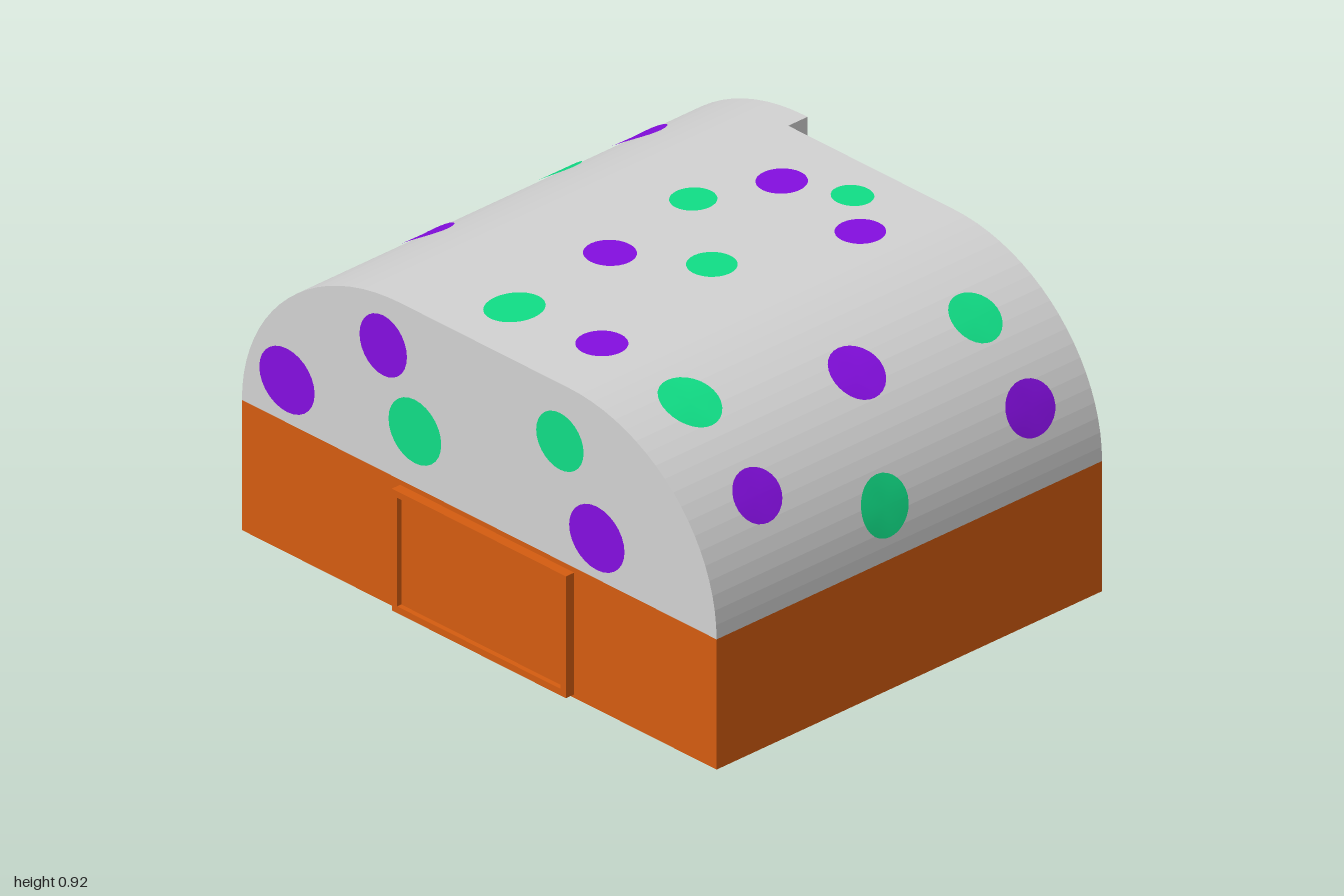
import * as THREE from 'three';

const mat = (name, color, extra = {}) => {
  const m = new THREE.MeshStandardMaterial({ color, ...extra });
  m.name = name;
  return m;
};

export function createModel() {
  const root = new THREE.Group();
  root.name = 'spottedBuilding';
  const orange = mat('orange wall', 0xd45c10);
  const gray = mat('light gray roof', 0xd2d2d2, { flatShading: true });
  const purple = mat('purple spot', 0x840ee0);
  const green = mat('green spot', 0x10de86);
  const black = mat('black mark', 0x0a0a0a);

  const add = (name, geo, material, parent = root) => {
    const m = new THREE.Mesh(geo, material);
    m.name = name;
    parent.add(m);
    return m;
  };
  // Box given by its minimum and maximum corners
  const box = (name, a, b, material, parent) => add(name,
    new THREE.BoxGeometry(b[0] - a[0], b[1] - a[1], b[2] - a[2])
      .translate((a[0] + b[0]) / 2, (a[1] + b[1]) / 2, (a[2] + b[2]) / 2), material, parent);

  // Roof section: front and back quarter ellipses joined by a flat top
  const EAVE = 0.39, RISE = 0.53;
  const arcs = { front: { z: 0.35, r: 0.56, s: 1 }, back: { z: -0.29, r: 0.6, s: -1 } };
  const onArc = (arc, t, grow = 0) => [
    arc.z + arc.s * (arc.r + grow) * Math.cos(t), EAVE + (RISE + grow) * Math.sin(t)];
  const STEPS = 20;
  const sample = (arc) => Array.from({ length: STEPS + 1 },
    (_, i) => onArc(arc, (i / STEPS) * Math.PI / 2));
  // Extrude a (z, y) section along x
  const alongX = (pts, x0, x1) => new THREE.ExtrudeGeometry(
    new THREE.Shape(pts.map(([z, y]) => new THREE.Vector2(-z, y))),
    { depth: x1 - x0, bevelEnabled: false }).rotateY(Math.PI / 2).translate(x0, 0, 0);

  // Walls and roofs
  box('mainWalls', [-0.97, 0, -0.89], [0.43, EAVE, 0.91], orange);
  const frontPts = sample(arcs.front), backPts = sample(arcs.back);
  add('mainRoof', alongX([...frontPts, ...backPts.slice().reverse()], -0.97, 0.43), gray);
  add('roofExtension', alongX([[-0.28, EAVE], [-0.28, 0.92], ...backPts.slice().reverse()], 0.43, 0.5), gray);

  // Side wing with flat roof and a slightly overhanging rear lip
  box('wingWalls', [0.43, 0, -0.895], [1, 0.397, -0.28], orange);
  const lip = (y0, y1) => new THREE.ExtrudeGeometry(new THREE.Shape(
    [[0.5, 0.28], [1, 0.28], [1, 0.895], [0.5, 0.915]].map(p => new THREE.Vector2(...p))),
  { depth: y1 - y0, bevelEnabled: false }).rotateX(-Math.PI / 2).translate(0, y0, 0);
  add('wingLip', lip(0.37, 0.398), orange);
  add('wingRoof', lip(0.398, 0.404), gray);
  box('wingRearPanel', [0.52, 0.03, -0.901], [0.96, 0.35, -0.893], orange);

  // Door frame and panel on the right-hand end
  const door = new THREE.Group();
  door.name = 'door';
  root.add(door);
  box('doorPanel', [-0.985, 0.03, -0.27], [-0.965, 0.355, 0.35], orange, door);
  for (const [z0, z1] of [[-0.29, -0.27], [0.35, 0.37]])
    box('doorPost', [-1, 0.01, z0], [-0.965, 0.375, z1], orange, door);
  for (const [y0, y1] of [[0.01, 0.03], [0.355, 0.375]])
    box('doorRail', [-1, y0, -0.27], [-0.965, y1, 0.35], orange, door);

  // Spots
  const spots = new THREE.Group();
  spots.name = 'spots';
  root.add(spots);
  const disc = (rx, ry) => new THREE.CircleGeometry(1, 28).scale(rx, ry, 1);
  const LIFT = 0.004;

  // Spots bent over the curved roof: colour, x, angle in degrees, radii
  const bent = (arc, [material, x, deg, rx, ry]) => {
    const g = disc(rx, ry), p = g.attributes.position;
    for (let i = 0; i < p.count; i++) {
      const t = Math.max(0.01, deg * Math.PI / 180 + p.getY(i) / 0.56);
      const [z, y] = onArc(arc, t, LIFT);
      p.setXYZ(i, x + arc.s * p.getX(i), y, z);
    }
    g.computeVertexNormals();
    add('roofSpot', g, material, spots);
  };
  [[green, -0.74, 67, 0.085, 0.092], [purple, -0.24, 54, 0.083, 0.085],
    [green, 0.19, 54, 0.077, 0.08], [purple, -0.73, 34.5, 0.08, 0.08],
    [green, -0.34, 16.5, 0.083, 0.092], [purple, 0.215, 24.5, 0.085, 0.082],
  ].forEach(s => bent(arcs.front, s));
  [[purple, -0.845, 33.6, 0.062, 0.065], [green, -0.6, 23.6, 0.073, 0.072],
    [purple, -0.285, 17, 0.064, 0.07], [green, 0.19, 23.6, 0.062, 0.07],
    [purple, -0.53, 53, 0.07, 0.092], [green, -0.03, 49.5, 0.068, 0.085],
    [purple, 0.24, 53, 0.072, 0.095],
  ].forEach(s => bent(arcs.back, s));

  // Flat spots on the roof tops: colour, x, z, radii, height
  const W = 0.404;
  for (const [m, x, z, rx, rz, y = 0.92] of [
    [green, -0.775, -0.06, 0.088, 0.075], [purple, -0.39, -0.1, 0.07, 0.072],
    [green, -0.03, -0.16, 0.065, 0.062], [purple, 0.205, -0.07, 0.07, 0.068],
    [green, -0.24, 0.13, 0.068, 0.068], [green, 0.285, 0.115, 0.055, 0.06],
    [purple, -0.745, 0.24, 0.07, 0.07], [purple, 0.165, 0.27, 0.068, 0.068],
    [green, 0.67, -0.64, 0.062, 0.058, W], [purple, 0.83, -0.655, 0.045, 0.052, W],
    [purple, 0.605, -0.43, 0.063, 0.063, W], [green, 0.865, -0.455, 0.055, 0.053, W],
  ]) add('topSpot', disc(rx, rz).rotateX(-Math.PI / 2).translate(x, y + LIFT, z), m, spots);

  // Spots on the gable ends: colour, z, y, radii, x
  for (const [m, z, y, rz, ry, x = 0.43] of [
    [purple, 0.575, 0.735, 0.072, 0.06], [green, 0.29, 0.74, 0.06, 0.058],
    [purple, -0.115, 0.805, 0.058, 0.052], [green, 0.63, 0.455, 0.06, 0.065],
    [purple, 0.27, 0.5, 0.07, 0.066], [green, -0.055, 0.565, 0.067, 0.064],
    [purple, -0.74, 0.575, 0.06, 0.058, 0.5],
    [purple, -0.715, 0.52, 0.105, 0.095, -0.97], [purple, -0.35, 0.77, 0.09, 0.09, -0.97],
    [green, -0.23, 0.56, 0.1, 0.095, -0.97], [green, 0.32, 0.75, 0.09, 0.085, -0.97],
    [purple, 0.46, 0.515, 0.105, 0.095, -0.97],
  ]) {
    const side = Math.sign(x);
    add('endSpot', disc(rz, ry).rotateY(side * Math.PI / 2).translate(x + side * LIFT, y, z), m, spots);
  }

  // Dark streak on the wing front
  const streak = new THREE.Shape([[0.815, 0.24], [0.87, 0.257], [0.95, 0.253], [0.965, 0.24],
    [0.95, 0.23], [0.87, 0.23]].map(p => new THREE.Vector2(...p)));
  add('darkStreak', new THREE.ShapeGeometry(streak).translate(0, 0, -0.277), black);
  add('darkDot', disc(0.013, 0.014).translate(0.985, 0.24, -0.277), black);
  return root;
}
